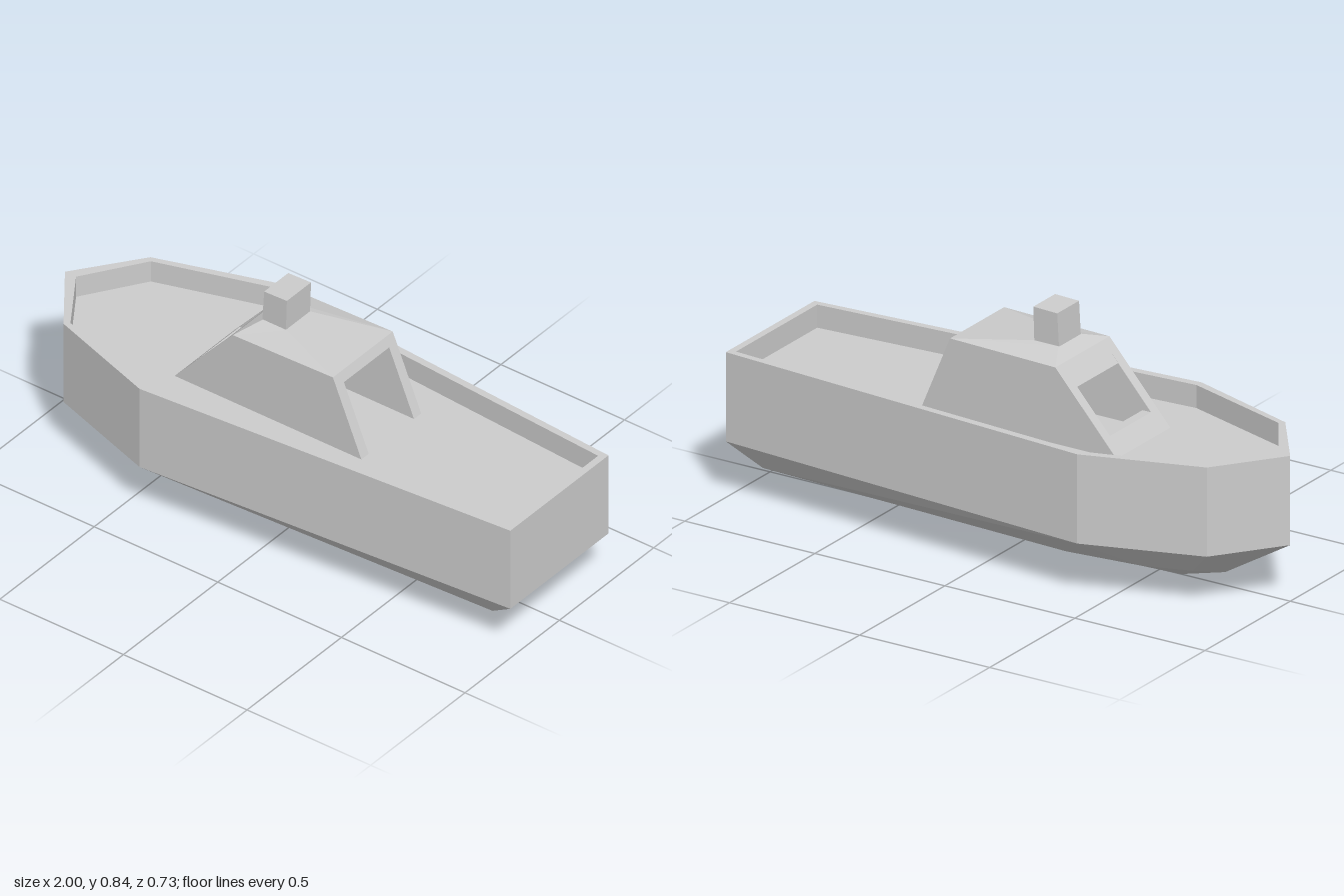
import * as THREE from 'three';

const paint = new THREE.MeshStandardMaterial({ color: 0xcccccc });
paint.name = 'light grey';

// Flat-faced mesh from convex polygons, each counter-clockwise from outside
function facets(name, polygons) {
  const pos = [];
  for (const p of polygons)
    for (let i = 1; i < p.length - 1; i++) pos.push(...p[0], ...p[i], ...p[i + 1]);
  const g = new THREE.BufferGeometry();
  g.setAttribute('position', new THREE.Float32BufferAttribute(pos, 3));
  g.computeVertexNormals();
  const m = new THREE.Mesh(g, paint);
  m.name = name;
  return m;
}

// Adds the mirror image of every polygon across z = 0
const mirrored = (polys) =>
  polys.concat(polys.map((p) => p.map(([x, y, z]) => [x, y, -z]).reverse()));

// Extrudes a side profile (x, y) from z0 to z1
function slab(name, profile, z0, z1) {
  const shape = new THREE.Shape(profile.map(([x, y]) => new THREE.Vector2(x, y)));
  const g = new THREE.ExtrudeGeometry(shape, { depth: z1 - z0, bevelEnabled: false });
  g.translate(0, 0, z0);
  const m = new THREE.Mesh(g, paint);
  m.name = name;
  return m;
}

// Frustum-like block between two rectangles [x0, x1, z0, z1, yFront, yAft]
function block(name, lower, upper) {
  const ring = ([x0, x1, z0, z1, ya, yb]) =>
    [[x0, ya, z1], [x1, yb, z1], [x1, yb, z0], [x0, ya, z0]];
  const a = ring(lower), b = ring(upper);
  const polys = [b, [...a].reverse()];
  for (let i = 0; i < 4; i++) {
    const j = (i + 1) % 4;
    polys.push([a[i], a[j], b[j], b[i]]);
  }
  return facets(name, polys);
}

export function createModel() {
  const boat = new THREE.Group();
  boat.name = 'boat';

  // Half outlines (x, z) from bow to stern, ending on the centre line
  const outer = [[-1, 0], [-0.83, 0.23], [-0.42, 0.365], [1, 0.26], [1, 0]];
  const inner = [[-0.955, 0], [-0.815, 0.213], [-0.418, 0.337], [0.975, 0.238], [0.975, 0]];
  const rimY = 0.505, chineY = 0.195, deckY = 0.425;
  const at = (line, y) => line.map(([x, z]) => [x, y, z]);
  const strip = (a, b) => a.slice(1).map((_, i) => [a[i], a[i + 1], b[i + 1], b[i]]);
  const low = at(outer, chineY), top = at(outer, rimY);
  const innerTop = at(inner, rimY), deck = at(inner, deckY);

  boat.add(facets('hullSides', mirrored(strip(low, top))));
  boat.add(facets('bulwarkRim', mirrored(strip(top, innerTop))));
  boat.add(facets('bulwarkInside', mirrored(strip(innerTop, deck))));
  boat.add(facets('deck', mirrored([deck])));

  // Faceted bottom: chine points c and keel points k, bow to stern
  const [P, Q, F, T, M] = low;
  const c = [[-0.71, 0.085, 0.13], [-0.54, 0.085, 0.185], [-0.28, 0.085, 0.215], [0.89, 0.11, 0.21]];
  const k = [[-0.75, 0.045, 0], [-0.58, 0, 0], [-0.26, 0, 0], [0.89, 0.11, 0]];
  boat.add(facets('hullBottom', mirrored([
    [P, k[0], c[0], Q], [Q, c[0], c[1], F], [F, c[1], c[2]], [F, c[2], c[3]], [F, c[3], T],
    [k[0], k[1], c[1], c[0]], [k[1], k[2], c[2], c[1]],
    [k[2], c[3], c[2]], [k[2], k[3], c[3]], [k[3], M, T, c[3]],
  ])));

  // Cabin: two side walls joined by beams, open aft, with a window in front
  const cabin = new THREE.Group();
  cabin.name = 'cabin';
  const zR = -0.165, zL = 0.152, inR = -0.127, inL = 0.113;
  const side = [[-0.44, deckY], [0.315, deckY], [0.2, 0.7], [-0.205, 0.69]];
  cabin.add(slab('cabinSideLeft', side, inL, zL));
  cabin.add(slab('cabinSideRight', side, zR, inR));
  cabin.add(slab('windowSill', [[-0.44, deckY], [-0.4, deckY], [-0.358, 0.481], [-0.39, 0.481]], inR, inL));
  cabin.add(slab('windowHead', [[-0.264, 0.623], [-0.232, 0.623], [-0.19, 0.67], [-0.205, 0.69]], inR, inL));
  cabin.add(slab('ceiling', [[-0.227, 0.665], [0.2146, 0.665], [0.2, 0.7], [-0.205, 0.69]], inR, inL));
  cabin.add(block('roof',
    [-0.205, 0.2, zR, zL, 0.69, 0.7],
    [-0.155, -0.06, -0.07, 0.058, 0.72, 0.72]));
  cabin.add(block('funnel',
    [-0.157, -0.062, -0.07, 0.058, 0.715, 0.715],
    [-0.15, -0.058, -0.07, 0.058, 0.833, 0.836]));
  boat.add(cabin);

  return boat;
}
